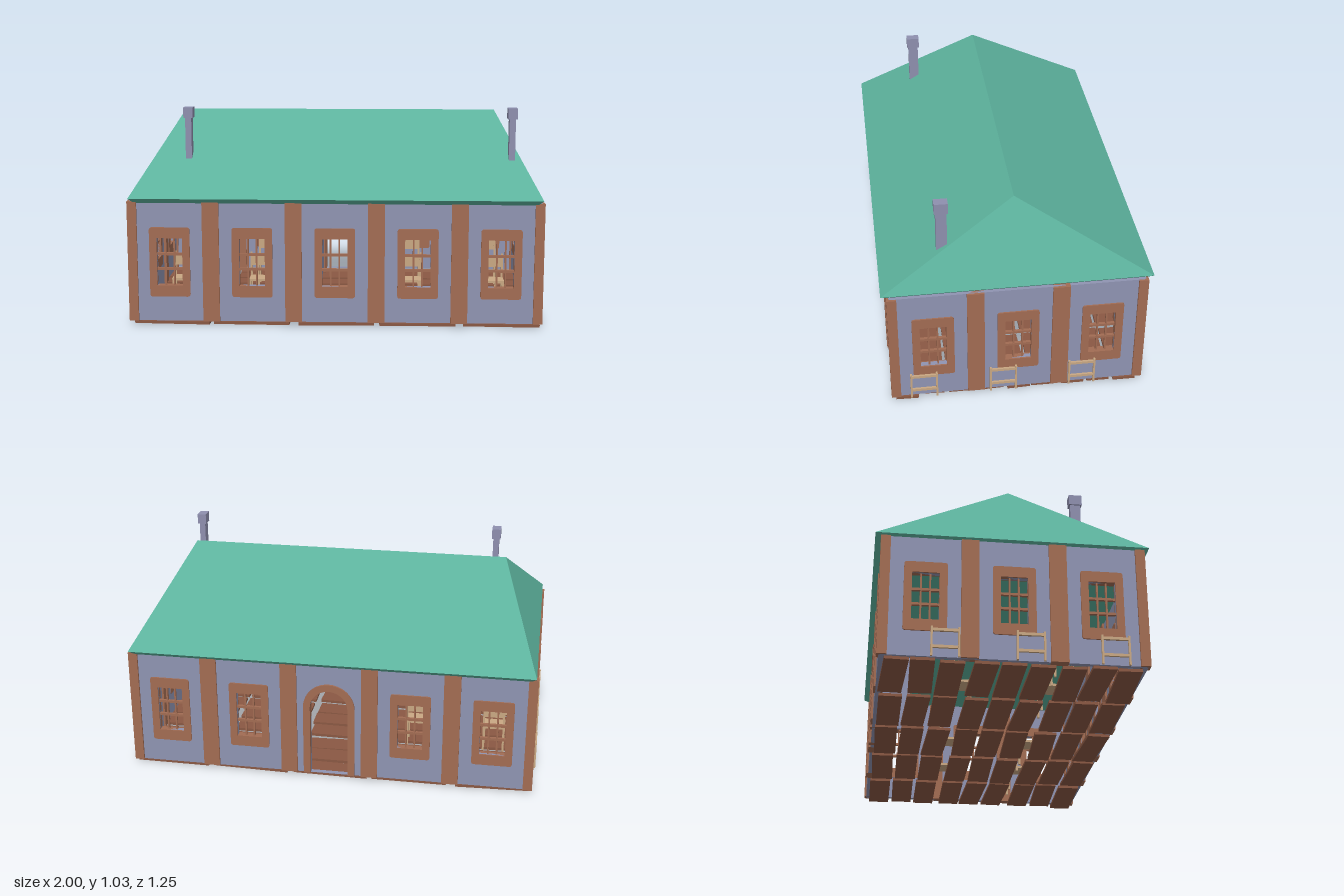
import * as THREE from 'three';

const mat = (name, color, side = THREE.FrontSide) => {
  const m = new THREE.MeshStandardMaterial({ color, side });
  m.name = name;
  return m;
};

export function createModel() {
  const model = new THREE.Group();
  model.name = 'house';
  const blue = mat('blue plaster', 0x8f94b2);
  const brown = mat('brown timber', 0xa26c53);
  const green = mat('green roof', 0x5cb19c);
  const tan = mat('pale wood', 0xc9a883);
  const dark = mat('floor wood', 0x8a5843);
  const grey = mat('chimney grey', 0x8e8fae);

  const add = (parent, name, geo, material, x = 0, y = 0, z = 0) => {
    const m = new THREE.Mesh(geo, material);
    m.name = name;
    m.position.set(x, y, z);
    parent.add(m);
    return m;
  };
  const box = (parent, name, material, w, h, d, x, y, z) =>
    add(parent, name, new THREE.BoxGeometry(w, h, d), material, x, y, z);
  const extrude = (shape, depth) =>
    new THREE.ExtrudeGeometry(shape, { depth, bevelEnabled: false, curveSegments: 10 });

  // Outlines used for openings and their surrounds
  const rectangle = (C, cx, y0, y1, half) => {
    const p = new C();
    p.moveTo(cx - half, y0); p.lineTo(cx + half, y0);
    p.lineTo(cx + half, y1); p.lineTo(cx - half, y1); p.closePath();
    return p;
  };
  const rounded = (half, y0, y1, r) => {
    const s = new THREE.Shape();
    s.moveTo(-half + r, y0); s.lineTo(half - r, y0);
    s.quadraticCurveTo(half, y0, half, y0 + r); s.lineTo(half, y1 - r);
    s.quadraticCurveTo(half, y1, half - r, y1); s.lineTo(-half + r, y1);
    s.quadraticCurveTo(-half, y1, -half, y1 - r); s.lineTo(-half, y0 + r);
    s.quadraticCurveTo(-half, y0, -half + r, y0);
    return s;
  };
  const arch = (C, half, y0, spring) => {
    const p = new C();
    p.moveTo(-half, y0); p.lineTo(half, y0); p.lineTo(half, spring);
    p.absarc(0, spring, half, 0, Math.PI, false); p.lineTo(-half, y0);
    return p;
  };

  const BAY = 0.395;
  const bottom = 0.022, top = 0.605;

  // Window surround with a three by three grid of bars
  const addWindow = (parent, x) => {
    const g = new THREE.Group();
    g.name = 'window';
    g.position.x = x;
    parent.add(g);
    const surround = rounded(0.097, 0.142, 0.48, 0.014);
    surround.holes.push(rectangle(THREE.Path, 0, 0.197, 0.428, 0.061));
    add(g, 'windowSurround', extrude(surround, 0.036), brown, 0, 0, -0.029);
    for (const s of [-1, 1]) {
      box(g, 'verticalBar', brown, 0.008, 0.231, 0.012, s * 0.0205, 0.3125, -0.012);
      box(g, 'horizontalBar', brown, 0.122, 0.012, 0.014, 0, 0.3125 + s * 0.036, -0.012);
    }
  };

  // One wall, its outside facing local +z
  const addSide = (name, length, bays, distance, angle, hasDoor) => {
    const g = new THREE.Group();
    g.name = name;
    g.rotation.y = angle;
    g.position.set(Math.sin(angle) * distance, 0, Math.cos(angle) * distance);
    model.add(g);
    const wall = rectangle(THREE.Shape, 0, bottom, top, length / 2);
    for (let i = 0; i < bays; i++) {
      const x = (i - (bays - 1) / 2) * BAY;
      if (i > 0) box(g, 'wallPost', brown, 0.08, top - bottom, 0.045, x - BAY / 2, (top + bottom) / 2, -0.0125);
      if (hasDoor && i === (bays - 1) / 2) continue;
      wall.holes.push(rectangle(THREE.Path, x, 0.197, 0.428, 0.061));
      addWindow(g, x);
    }
    if (hasDoor) {
      wall.holes.push(arch(THREE.Path, 0.092, bottom + 0.001, 0.38));
      const surround = new THREE.Shape();
      surround.moveTo(0.092, bottom); surround.lineTo(0.126, bottom); surround.lineTo(0.126, 0.38);
      surround.absarc(0, 0.38, 0.126, 0, Math.PI, false);
      surround.lineTo(-0.126, bottom); surround.lineTo(-0.092, bottom); surround.lineTo(-0.092, 0.38);
      surround.absarc(0, 0.38, 0.092, Math.PI, 0, true);
      surround.lineTo(0.092, bottom);
      add(g, 'doorSurround', extrude(surround, 0.042), brown, 0, 0, -0.032);
    }
    add(g, 'wall', extrude(wall, 0.025), blue, 0, 0, -0.025);
  };
  addSide('frontWall', 1.95, 5, 0.59, 0, false);
  addSide('backWall', 1.95, 5, 0.59, Math.PI, true);
  addSide('leftWall', 1.17, 3, 0.98, Math.PI / 2, false);
  addSide('rightWall', 1.17, 3, 0.98, -Math.PI / 2, false);

  // Corner posts
  for (const sx of [-1, 1]) for (const sz of [-1, 1])
    box(model, 'cornerPost', brown, 0.045, top - bottom, 0.045, sx * 0.9675, (top + bottom) / 2, sz * 0.5775);

  // Hipped roof: soffit ring, eave ring and ridge
  const ring = (x, y, z) => [[-x, y, z], [x, y, z], [x, y, -z], [-x, y, -z]];
  const rings = [ring(0.955, 0.598, 0.595), ring(0.98, 0.622, 0.625), ring(0.79, 0.99, 0)];
  const pos = [];
  const quad = (a, b, c, d) => pos.push(...a, ...b, ...c, ...a, ...c, ...d);
  for (let r = 0; r < 2; r++) for (let i = 0; i < 4; i++) {
    const j = (i + 1) % 4;
    const [lo, hi] = [rings[r], rings[r + 1]];
    if (r === 1 && i % 2) pos.push(...lo[i], ...lo[j], ...hi[j]);
    else quad(lo[i], lo[j], hi[j], hi[i]);
  }
  quad(rings[0][3], rings[0][2], rings[0][1], rings[0][0]);
  const roof = new THREE.BufferGeometry();
  roof.setAttribute('position', new THREE.Float32BufferAttribute(pos, 3));
  roof.computeVertexNormals();
  add(model, 'roof', roof, green);

  // Chimneys
  for (const x of [-0.725, 0.852]) {
    box(model, 'chimneyShaft', grey, 0.03, 0.23, 0.05, x, 0.885, 0.335);
    box(model, 'chimneyCap', grey, 0.045, 0.052, 0.063, x, 1.004, 0.335);
  }

  // Loose floor boards, three to a bay, each slightly turned
  let seed = 7;
  const rand = () => (seed = (seed * 16807) % 2147483647) / 2147483647 - 0.5;
  for (let i = 0; i < 5; i++) for (let j = 0; j < 3; j++) for (let k = 0; k < 3; k++) {
    const b = box(model, 'floorBoard', dark, 0.365, 0.014, 0.108,
      (i - 2) * BAY + rand() * 0.02, 0.008 + (k % 2) * 0.004, (j - 1) * BAY + (k - 1) * 0.125);
    b.rotation.y = rand() * 0.1;
  }

  // Low racks standing against the end walls
  for (const s of [-1, 1]) for (let i = 0; i < 3; i++) {
    const z = 0.445 - i * 0.375;
    for (const e of [-1, 1]) box(model, 'rackLeg', tan, 0.012, 0.14, 0.009, s * 0.994, 0.09, z + e * 0.06);
    for (const y of [0.065, 0.145]) box(model, 'rackRail', tan, 0.01, 0.013, 0.115, s * 0.994, y, z);
  }

  // Chairs inside
  const addChair = (x, z) => {
    const g = new THREE.Group();
    g.name = 'chair';
    g.position.set(x, 0, z);
    model.add(g);
    for (const s of [-1, 1]) {
      box(g, 'chairBackLeg', tan, 0.01, 0.26, 0.01, s * 0.05, 0.15, -0.04);
      box(g, 'chairFrontLeg', tan, 0.01, 0.13, 0.01, s * 0.05, 0.085, 0.04);
    }
    box(g, 'chairSeat', tan, 0.11, 0.012, 0.09, 0, 0.152, 0);
    box(g, 'chairBack', tan, 0.1, 0.06, 0.008, 0, 0.24, -0.04);
  };
  for (const x of [-0.78, -0.39, 0.37, 0.78]) for (const z of [-0.18, 0.24]) addChair(x, z);

  // Entrance partition and the open door leaf beside it
  box(model, 'entrancePartition', blue, 0.012, 0.48, 0.15, -0.115, 0.262, -0.485);
  box(model, 'doorLeaf', brown, 0.01, 0.4, 0.1, -0.1, 0.222, -0.51);

  return model;
}
